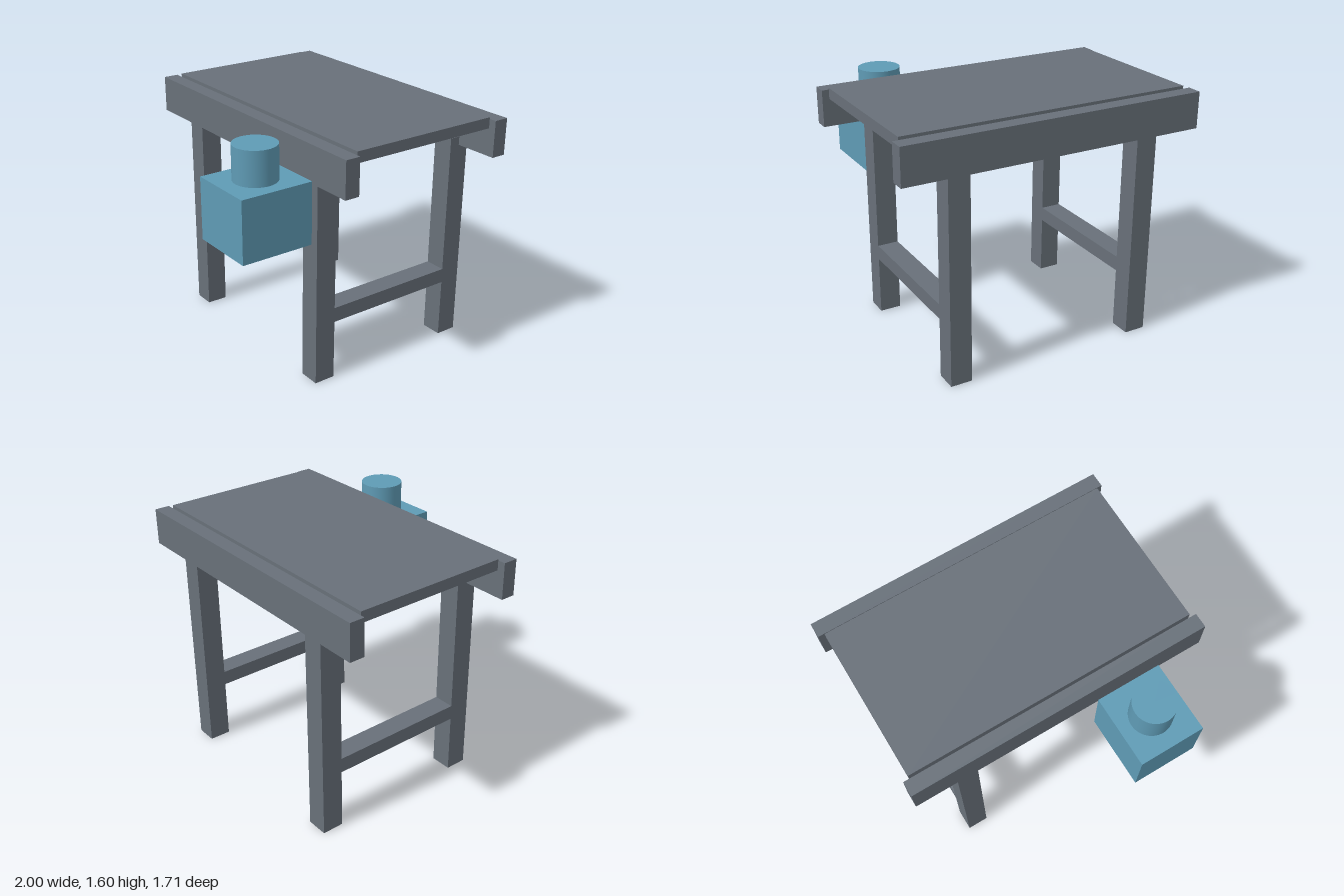
import * as THREE from 'three';

const steel = new THREE.MeshStandardMaterial({ color: 0x687079 });
steel.name = 'steelGrey';
const blue = new THREE.MeshStandardMaterial({ color: 0x5f9bb5 });
blue.name = 'motorBlue';

// Box given by its [min, max] extent along each axis
function box(name, material, [x0, x1], [y0, y1], [z0, z1]) {
  const mesh = new THREE.Mesh(new THREE.BoxGeometry(x1 - x0, y1 - y0, z1 - z0), material);
  mesh.position.set((x0 + x1) / 2, (y0 + y1) / 2, (z0 + z1) / 2);
  mesh.name = name;
  return mesh;
}

export function createModel() {
  const model = new THREE.Group();
  model.name = 'conveyorTable';

  // Flat bed and the two side rails
  model.add(
    box('bed', steel, [-0.96, 0.96], [1.525, 1.595], [-0.75, 0.27]),
    box('frontRail', steel, [-1, 1], [1.345, 1.58], [0.283, 0.38]),
    box('backRail', steel, [-1, 1], [1.345, 1.58], [-0.857, -0.76])
  );

  // Leg pairs, each joined by a cross brace
  for (const [side, x] of [['left', 0.64], ['right', -0.64]]) {
    const width = [x - 0.07, x + 0.07];
    const frame = new THREE.Group();
    frame.name = side + 'LegFrame';
    frame.add(
      box(side + 'FrontLeg', steel, width, [0, 1.4], [0.21, 0.35]),
      box(side + 'BackLeg', steel, width, [0, 1.4], [-0.83, -0.69]),
      box(side + 'Brace', steel, width, [0.393, 0.49], [-0.69, 0.21])
    );
    model.add(frame);
  }

  // Drive unit hung on the front rail
  const drive = new THREE.Group();
  drive.name = 'driveUnit';
  const motor = new THREE.Mesh(new THREE.CylinderGeometry(0.137, 0.137, 0.22, 48), blue);
  motor.name = 'motor';
  motor.position.set(0.478, 1.47, 0.62);
  drive.add(box('gearbox', blue, [0.26, 0.697], [0.963, 1.36], [0.38, 0.857]), motor);
  model.add(drive);

  return model;
}
